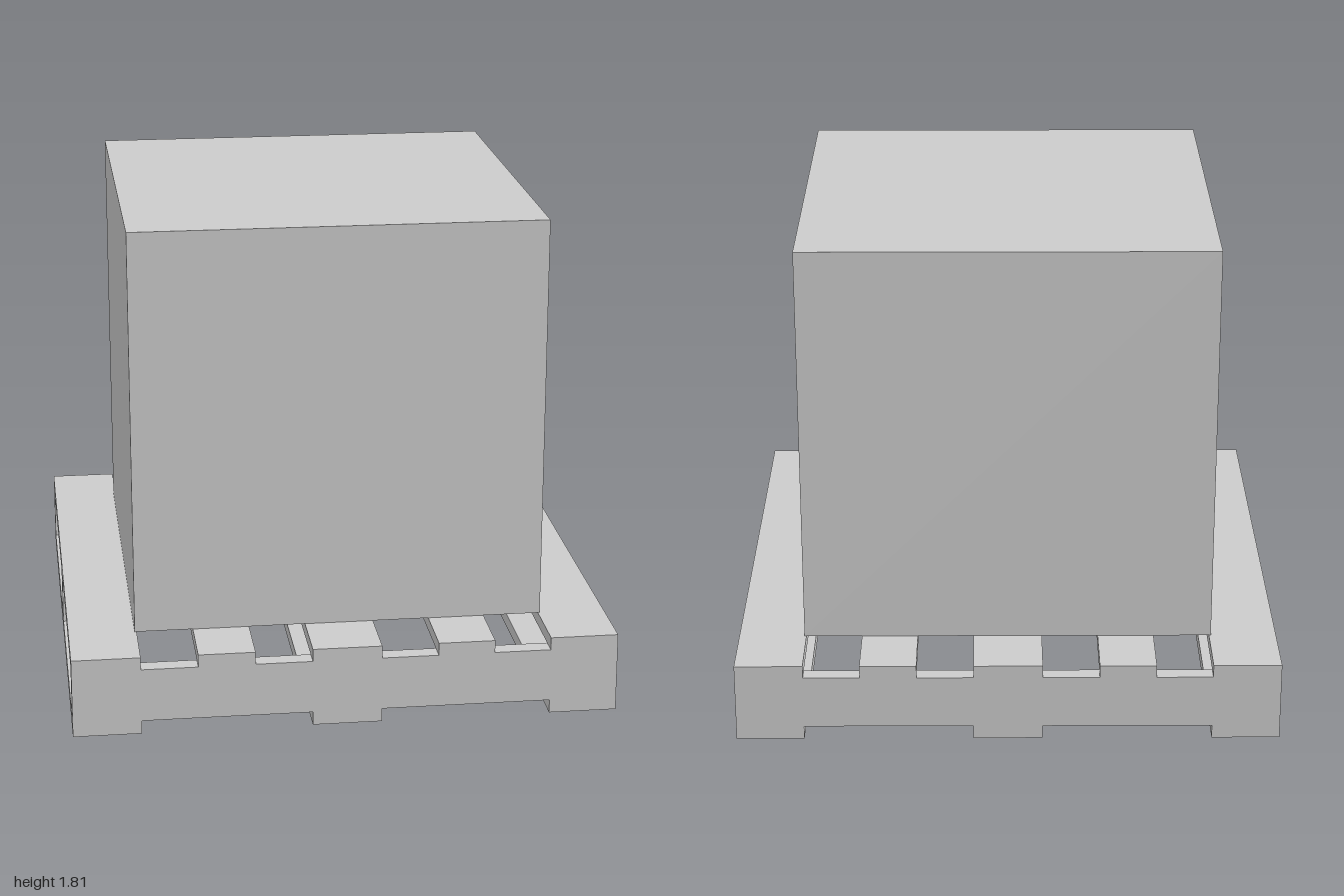
import * as THREE from 'three';

export function createModel() {
  const model = new THREE.Group();
  const material = new THREE.MeshStandardMaterial({ color: 0xcccccc, flatShading: true });

  // Box spanning the given ranges on each axis
  function block(name, [x0, x1], [y0, y1], [z0, z1], parent) {
    const mesh = new THREE.Mesh(new THREE.BoxGeometry(x1 - x0, y1 - y0, z1 - z0), material);
    mesh.position.set((x0 + x1) / 2, (y0 + y1) / 2, (z0 + z1) / 2);
    mesh.name = name;
    parent.add(mesh);
  }

  const pallet = new THREE.Group();
  pallet.name = 'pallet';
  model.add(pallet);

  // Deck boards run front to back; the outer and middle ones are wider
  const wide = [[-1, -0.75], [-0.127, 0.127], [0.75, 1]];
  const narrow = [[-0.543, -0.335], [0.335, 0.543]];
  for (const x of [...wide, ...narrow]) block('topBoard', x, [0.25, 0.297], [-1, 1], pallet);
  for (const x of wide) block('bottomBoard', x, [0, 0.05], [-1, 1], pallet);

  // Stringers run side to side between the two decks
  for (const z of [[-1, -0.94], [-0.033, 0.028], [0.934, 1]]) {
    block('stringer', [-1, 1], [0.05, 0.25], z, pallet);
  }

  // Cube-shaped load
  block('crate', [-0.757, 0.757], [0.297, 1.807], [-0.757, 0.757], model);

  return model;
}
